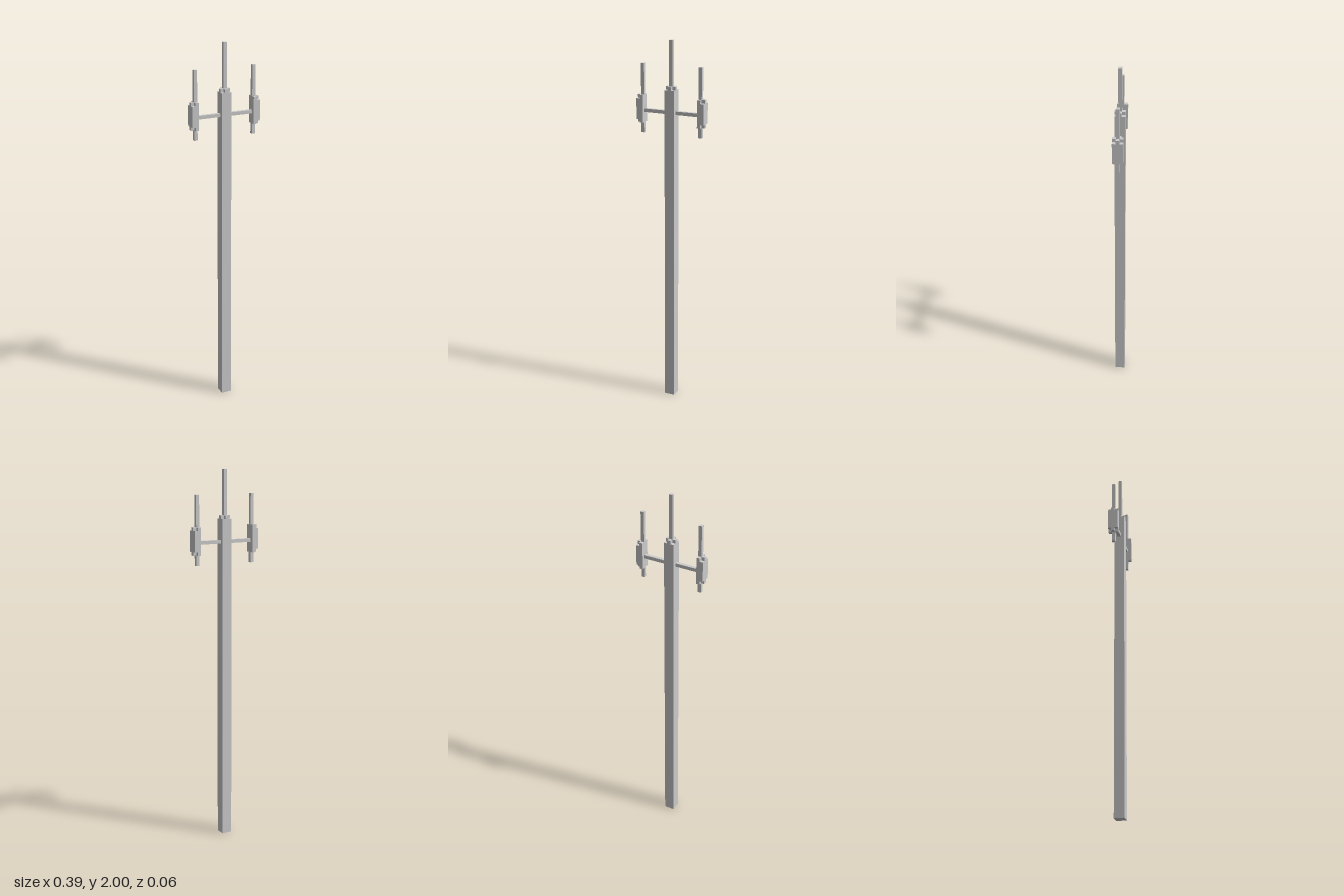
import * as THREE from 'three';

// Everything sits on a cube grid, 109 units tall in total
const U = 2 / 109;

export function createModel() {
  const model = new THREE.Group();
  model.name = 'antennaMast';
  const material = new THREE.MeshStandardMaterial({ color: 0xcccccc, flatShading: true });

  // Box between two grid corners
  function box(parent, name, [x0, y0, z0], [x1, y1, z1]) {
    const geometry = new THREE.BoxGeometry((x1 - x0) * U, (y1 - y0) * U, (z1 - z0) * U);
    const mesh = new THREE.Mesh(geometry, material);
    mesh.position.set((x0 + x1) / 2 * U, (y0 + y1) / 2 * U, (z0 + z1) / 2 * U);
    mesh.name = name;
    parent.add(mesh);
  }

  // Square post with a cross-shaped cap, leaving the four corners one step lower
  box(model, 'post', [-1.5, 0, -1.5], [1.5, 95, 1.5]);
  box(model, 'postCapBar', [-1.5, 95, -0.5], [1.5, 96, 0.5]);
  box(model, 'postCapFront', [-0.5, 95, 0.5], [0.5, 96, 1.5]);
  box(model, 'postCapBack', [-0.5, 95, -1.5], [0.5, 96, -0.5]);
  box(model, 'centreAntenna', [-0.5, 96, -0.5], [0.5, 109, 0.5]);

  // Side arms, each carrying a housing with a rod through its inner column
  for (const [side, s] of [['left', 1], ['right', -1]]) {
    const arm = new THREE.Group();
    arm.name = side + 'Arm';
    model.add(arm);
    const span = (name, a, b, y0, y1, z0, z1) =>
      box(arm, name, [Math.min(s * a, s * b), y0, z0], [Math.max(s * a, s * b), y1, z1]);

    span('crossbar', 1.5, 8.5, 88, 89, -0.5, 0.5);
    span('housing', 8.5, 10.5, 86, 92, -1.5, 1.5);
    // Stepped ends of the housing: the outer corners are cut away
    for (const [name, y] of [['housingBottom', 85], ['housingTop', 92]]) {
      span(name + 'Inner', 8.5, 9.5, y, y + 1, -1.5, 1.5);
      span(name + 'Outer', 9.5, 10.5, y, y + 1, -0.5, 0.5);
    }
    span('upperAntenna', 8.5, 9.5, 93, 102, -0.5, 0.5);
    span('lowerAntenna', 8.5, 9.5, 82, 85, -0.5, 0.5);
  }
  return model;
}
